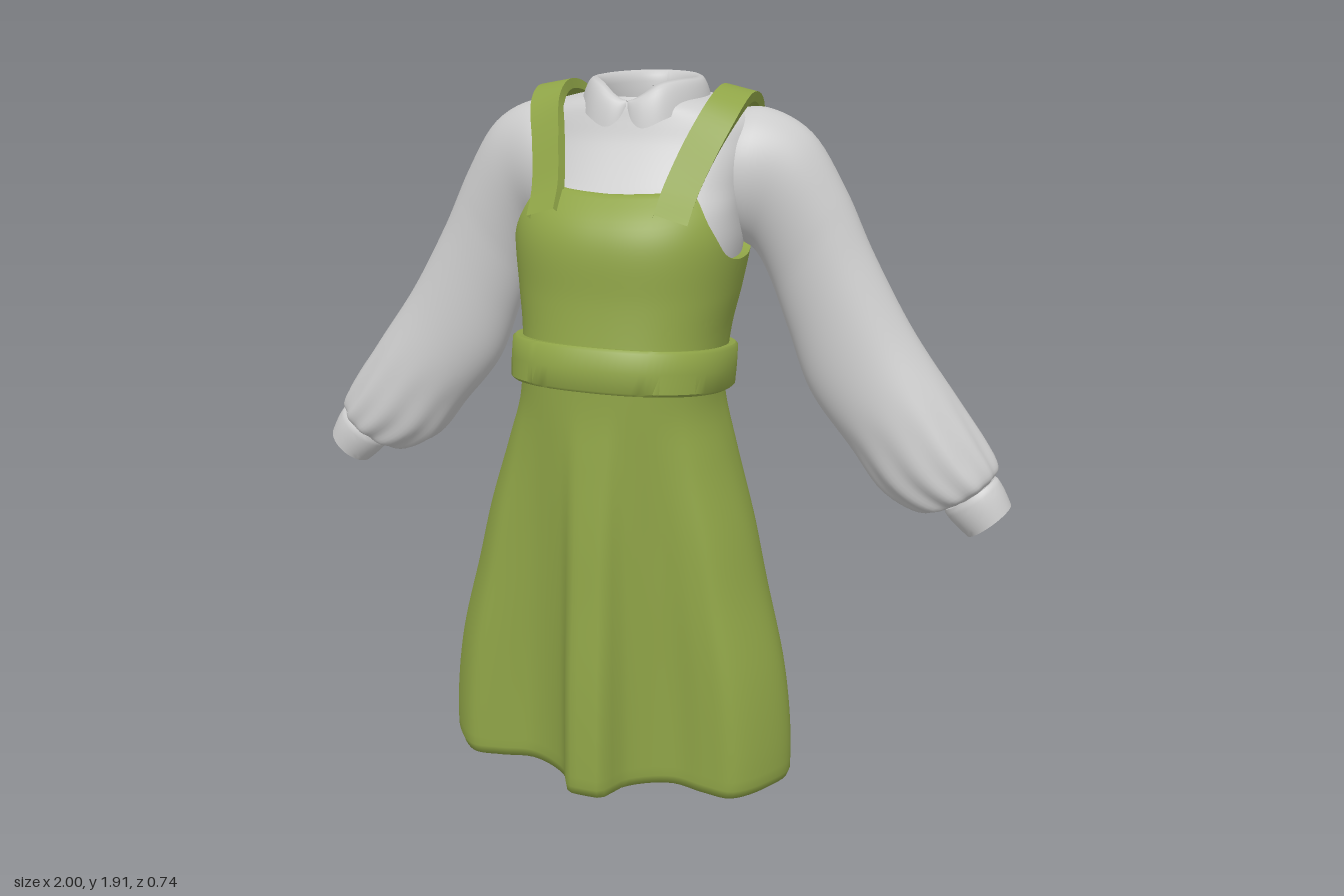
import * as THREE from 'three';
import { mergeVertices, toCreasedNormals } from 'three/addons/utils/BufferGeometryUtils.js';

const GREEN = 0x8fa447, GREY = 0xcccccc, PI = Math.PI;
const mats = {};
const mat = (color) => (mats[color] ??= new THREE.MeshStandardMaterial({ color, side: THREE.DoubleSide }));

// Smooth interpolation in rows of [key, value, value, ...]
function sample(rows, key) {
  const n = rows.length - 1;
  key = Math.min(Math.max(key, rows[0][0]), rows[n][0]);
  let i = 0;
  while (i < n - 1 && key > rows[i + 1][0]) i++;
  const a = rows[i], b = rows[i + 1], h = b[0] - a[0], t = (key - a[0]) / h;
  const slope = (j, c) => {
    const p = rows[Math.max(j - 1, 0)], q = rows[Math.min(j + 1, n)];
    return (q[c] - p[c]) / (q[0] - p[0]);
  };
  return a.slice(1).map((_, k) => {
    const c = k + 1, t2 = t * t, t3 = t2 * t;
    return (2 * t3 - 3 * t2 + 1) * a[c] + (t3 - 2 * t2 + t) * h * slope(i, c)
      + (3 * t2 - 2 * t3) * b[c] + (t3 - t2) * h * slope(i + 1, c);
  });
}

// Grid surface from point(u, v), u around and v along, both 0..1
function surface(name, color, nu, nv, point, crease = 0) {
  const pos = [], idx = [];
  for (let j = 0; j <= nv; j++) for (let i = 0; i <= nu; i++) pos.push(...point(i / nu, j / nv));
  for (let j = 0; j < nv; j++) for (let i = 0; i < nu; i++) {
    const a = j * (nu + 1) + i, b = a + nu + 1;
    idx.push(a, a + 1, b + 1, a, b + 1, b);
  }
  let geo = new THREE.BufferGeometry();
  geo.setAttribute('position', new THREE.Float32BufferAttribute(pos, 3));
  geo.setIndex(idx);
  geo = mergeVertices(geo, 1e-5);
  geo.computeVertexNormals();
  if (crease) geo = toCreasedNormals(geo, crease);
  const mesh = new THREE.Mesh(geo, mat(color));
  mesh.name = name;
  return mesh;
}

// Body cross-section: half width, front z, back z; angle 0 is the front
const spow = (s, e) => Math.sign(s) * Math.abs(s) ** e;
function ring([w, zf, zb], a, grow = 0, e = 0.85) {
  const c = spow(Math.cos(a), e), mid = (zf + zb) / 2, r = (zf - zb) / 2 + grow;
  return [(w + grow) * spow(Math.sin(a), e), mid + r * c];
}
const angle = (u) => (u - 0.5) * 2 * PI;

// [y, half width, front z, back z]
const BODICE = [[1.1, 0.262, 0.282, -0.22], [1.2, 0.262, 0.275, -0.23], [1.3, 0.268, 0.255, -0.262],
  [1.4, 0.285, 0.24, -0.3], [1.53, 0.302, 0.23, -0.345], [1.6, 0.3, 0.2, -0.355], [1.68, 0.29, 0.12, -0.352]];
const BLOUSE = [[1.2, 0.24, 0.22, -0.2], [1.4, 0.265, 0.215, -0.275], [1.52, 0.28, 0.205, -0.325],
  [1.6, 0.28, 0.165, -0.335], [1.66, 0.285, 0.105, -0.335], [1.76, 0.305, 0.035, -0.328],
  [1.82, 0.29, 0.01, -0.318], [1.85, 0.24, 0, -0.315], [1.868, 0.17, -0.01, -0.315], [1.875, 0.115, -0.015, -0.31]];
// Upper edge of the bodice by angle: neckline, armhole, back
const EDGE = [[0, 1.655], [0.4, 1.66], [0.68, 1.665], [0.95, 1.58], [1.2, 1.51], [1.57, 1.485],
  [1.9, 1.5], [2.25, 1.55], [2.5, 1.585], [2.75, 1.57], [PI, 1.56]];
// Hem outline by angle: x, z
const HEM = [[0, 0, 0.36], [0.12, 0.05, 0.352], [0.24, 0.09, 0.28], [0.5, 0.2, 0.222], [0.75, 0.3, 0.238],
  [0.95, 0.38, 0.243], [1.2, 0.45, 0.17], [1.5, 0.49, 0.07], [1.8, 0.46, -0.02], [2.1, 0.375, -0.09],
  [2.45, 0.28, -0.165], [2.8, 0.14, -0.21], [PI, 0, -0.22]];
// How far the skirt has spread from waist to hem, by height
const SPREAD = [[0, 1], [0.2, 0.99], [0.4, 0.88], [0.63, 0.63], [0.8, 0.45], [1, 0.18], [1.13, 0.02], [1.3, 0]];
// Sleeve: [t, outer x, outer y, inner x, inner y, z radius]
const SLEEVE = [[0, 0.2, 1.83, 0.24, 1.52, 0.14], [0.1, 0.31, 1.845, 0.27, 1.5, 0.14],
  [0.2, 0.43, 1.785, 0.3, 1.475, 0.118], [0.3, 0.52, 1.65, 0.335, 1.41, 0.105],
  [0.42, 0.6, 1.49, 0.39, 1.27, 0.1], [0.55, 0.71, 1.3, 0.455, 1.11, 0.105],
  [0.7, 0.84, 1.12, 0.57, 0.965, 0.115], [0.82, 0.915, 1.015, 0.66, 0.855, 0.116],
  [0.92, 0.955, 0.945, 0.765, 0.805, 0.1], [1, 0.945, 0.91, 0.838, 0.828, 0.066]];
const CUFF = [[0, 0.935, 0.905, 0.85, 0.835, 0.05], [0.12, 0.955, 0.92, 0.828, 0.818, 0.071],
  [0.9, 1, 0.845, 0.895, 0.752, 0.068], [1, 0.992, 0.842, 0.902, 0.758, 0.06]];
const STRAP = [[0.165, 1.6, 0.165], [0.172, 1.66, 0.112], [0.2, 1.76, 0.035], [0.235, 1.85, -0.05],
  [0.245, 1.88, -0.13], [0.242, 1.86, -0.235], [0.225, 1.79, -0.322], [0.2, 1.68, -0.352], [0.175, 1.55, -0.352]];
// Collar by angle: fold height, drop, flare
const COLLAR = [[0, 1.868, 0.01, 0.006], [0.12, 1.872, 0.05, 0.026], [0.3, 1.885, 0.08, 0.042],
  [0.6, 1.91, 0.085, 0.05], [1, 1.918, 0.07, 0.045], [1.6, 1.915, 0.06, 0.04], [PI, 1.915, 0.08, 0.022]];

const waistY = (z) => 1.205 + 0.15 * z;

export function createModel() {
  const group = new THREE.Group();
  group.name = 'pinaforeDressWithBlouse';

  // Skirt, hem turned up inside
  group.add(surface('skirt', GREEN, 144, 44, (u, v) => {
    const a = angle(u), fold = v < 0.07, t = fold ? (0.07 - v) * 0.9 : (v - 0.07) / 0.93;
    const [hx, hz] = sample(HEM, Math.abs(a));
    const [wx, wz] = ring([0.258, 0.283, -0.22], a);
    const bottom = 0.08 * THREE.MathUtils.smoothstep(hz, -0.26, 0.16);
    const y = bottom + (waistY(wz) - bottom) * t, k = sample(SPREAD, y)[0], s = fold ? 0.982 : 1;
    return [(wx + (Math.sign(a) * hx - wx) * k) * s, y, (wz + (hz - wz) * k) * s];
  }));

  // Bodice with shaped upper edge, turned inward at the top
  group.add(surface('bodice', GREEN, 144, 28, (u, v) => {
    const a = angle(u), top = sample(EDGE, Math.abs(a))[0], t = Math.min(v / 0.95, 1);
    const base = waistY(ring(BODICE[1].slice(1), a)[1]), y = base + (top - base) * t;
    const [x, z] = ring(sample(BODICE, y), a, v > 0.97 ? -0.02 : 0);
    return [x, y, z];
  }, 0.9));

  // Waistband, tilted down to the back
  const band = [[-0.055, -0.01], [-0.057, 0.016], [-0.05, 0.023], [0, 0.024], [0.05, 0.023], [0.057, 0.016], [0.055, -0.01]];
  group.add(surface('waistband', GREEN, 96, 6, (u, v) => {
    const [dy, out] = band[Math.round(v * 6)];
    const [x, z] = ring([0.264, 0.275 - dy * 0.15, -0.235 - dy * 0.25], angle(u), out);
    return [x, waistY(z) + dy, z];
  }, 0.8));

  // Blouse body
  group.add(surface('blouseBody', GREY, 96, 40, (u, v) => {
    const y = 1.2 + 0.675 * (1 - (1 - v) ** 1.5);
    const [x, z] = ring(sample(BLOUSE, y), angle(u));
    return [x, y, z];
  }));

  const strapPath = new THREE.CatmullRomCurve3(STRAP.map((p) => new THREE.Vector3(...p)));
  for (const [side, s] of [['left', 1], ['right', -1]]) {
    // Cross-section spanned between an outer and an inner point
    const limb = (rows, t, a, z, k = 1) => {
      const [ox, oy, ix, iy, rz] = sample(rows, t), c = Math.cos(a) * k / 2;
      return [s * ((ox + ix) / 2 + (ox - ix) * c), (oy + iy) / 2 + (oy - iy) * c, z + rz * k * Math.sin(a)];
    };

    // Full sleeve, gathered into the cuff
    group.add(surface(side + 'Sleeve', GREY, 80, 60, (u, v) => {
      const a = u * 2 * PI, g = THREE.MathUtils.smoothstep(v, 0.6, 0.9);
      const pleat = 1 + g * (0.035 * Math.cos(11 * a + 1) + 0.02 * Math.cos(5 * a)) - 0.02 * g;
      return limb(SLEEVE, v, a, -0.165 - 0.02 * Math.min(1, v * 3), pleat);
    }));
    group.add(surface(side + 'Cuff', GREY, 40, 14, (u, v) =>
      v < 0.8 ? limb(CUFF, v / 0.8, u * 2 * PI, -0.178)
        : limb(CUFF, 1 - (v - 0.8) * 4, u * 2 * PI, -0.178, 0.87), 0.7));

    // Shoulder strap: a flat band over the shoulder
    group.add(surface(side + 'Strap', GREEN, 4, 48, (u, v) => {
      const p = strapPath.getPoint(v), t = strapPath.getTangent(v);
      const w = new THREE.Vector3(1, -0.2, -0.35 * THREE.MathUtils.clamp((p.z + 0.13) * 6, -1, 1));
      w.addScaledVector(t, -w.dot(t)).normalize();
      const n = new THREE.Vector3().crossVectors(t, w).normalize();
      const i = Math.round(u * 4) % 4;
      p.addScaledVector(w, i === 0 || i === 3 ? -0.043 : 0.043).addScaledVector(n, i < 2 ? 0.012 : -0.014);
      return [s * p.x, p.y, p.z];
    }, 0.8));

    // Rounded collar half: stand, fold and falling leaf
    group.add(surface(side + 'Collar', GREY, 60, 14, (u, v) => {
      const a = 0.015 + (PI - 0.015) * u ** 1.4, [fold, drop, flare] = sample(COLLAR, a);
      let grow, y;
      if (v < 0.35) {
        const t = v / 0.35;
        grow = -0.016 + 0.012 * t * t;
        y = 1.84 + (fold - 1.84) * t;
      } else {
        const t = (v - 0.35) / 0.65;
        grow = flare * Math.sqrt(t);
        y = fold - drop * t ** 1.3;
      }
      return [s * (0.124 + grow) * Math.sin(a), y, -0.165 + (0.165 + grow) * Math.cos(a)];
    }));
  }
  return group;
}
